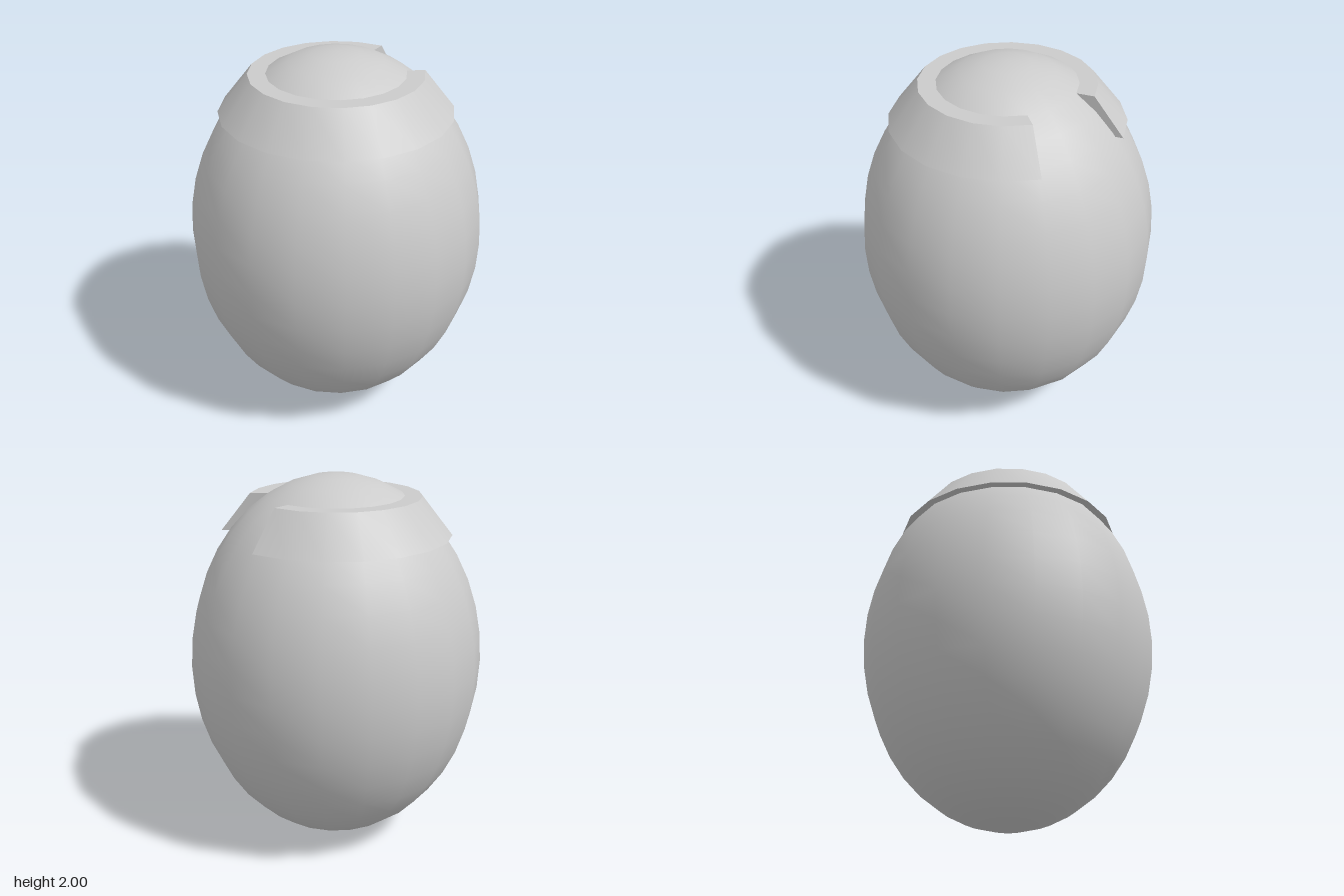
import * as THREE from 'three';
import { toCreasedNormals } from 'three/addons/utils/BufferGeometryUtils.js';

const SIDES = 20;
const STEP = (Math.PI * 2) / SIDES;

export function createModel() {
  const model = new THREE.Group();
  const grey = new THREE.MeshStandardMaterial({ color: 0xcccccc });
  const greyDouble = new THREE.MeshStandardMaterial({ color: 0xcccccc, side: THREE.DoubleSide });

  const add = (name, geometry, material, parent) => {
    const mesh = new THREE.Mesh(geometry, material);
    mesh.name = name;
    parent.add(mesh);
    return mesh;
  };

  // Smooth egg-shaped body
  const egg = new THREE.SphereGeometry(1, SIDES, SIDES);
  egg.scale(0.785, 1, 0.785).translate(0, 1, 0);
  add('body', egg, grey, model);

  // Sloped collar around the crown; its inner wall is sunk into the body
  const collar = new THREE.Group();
  collar.name = 'collar';
  model.add(collar);
  const profile = [[0.608, 1.69], [0.45, 1.89], [0.345, 1.89], [0.53, 1.69]]
    .map(([r, y]) => new THREE.Vector2(r, y));

  // The collar leaves three of the twenty segments open on the +x side
  const start = STEP, end = -2 * STEP;
  const band = new THREE.LatheGeometry([...profile, profile[0]], SIDES - 3,
    Math.PI / 2 - start - 17 * STEP, 17 * STEP);
  add('collarBand', toCreasedNormals(band, 0.6), grey, collar);

  // Flat faces closing both ends of the collar
  const section = new THREE.ShapeGeometry(new THREE.Shape(profile));
  for (const [name, angle] of [['collarFrontEnd', start], ['collarBackEnd', end]]) {
    add(name, section, greyDouble, collar).rotation.y = -angle;
  }

  return model;
}
